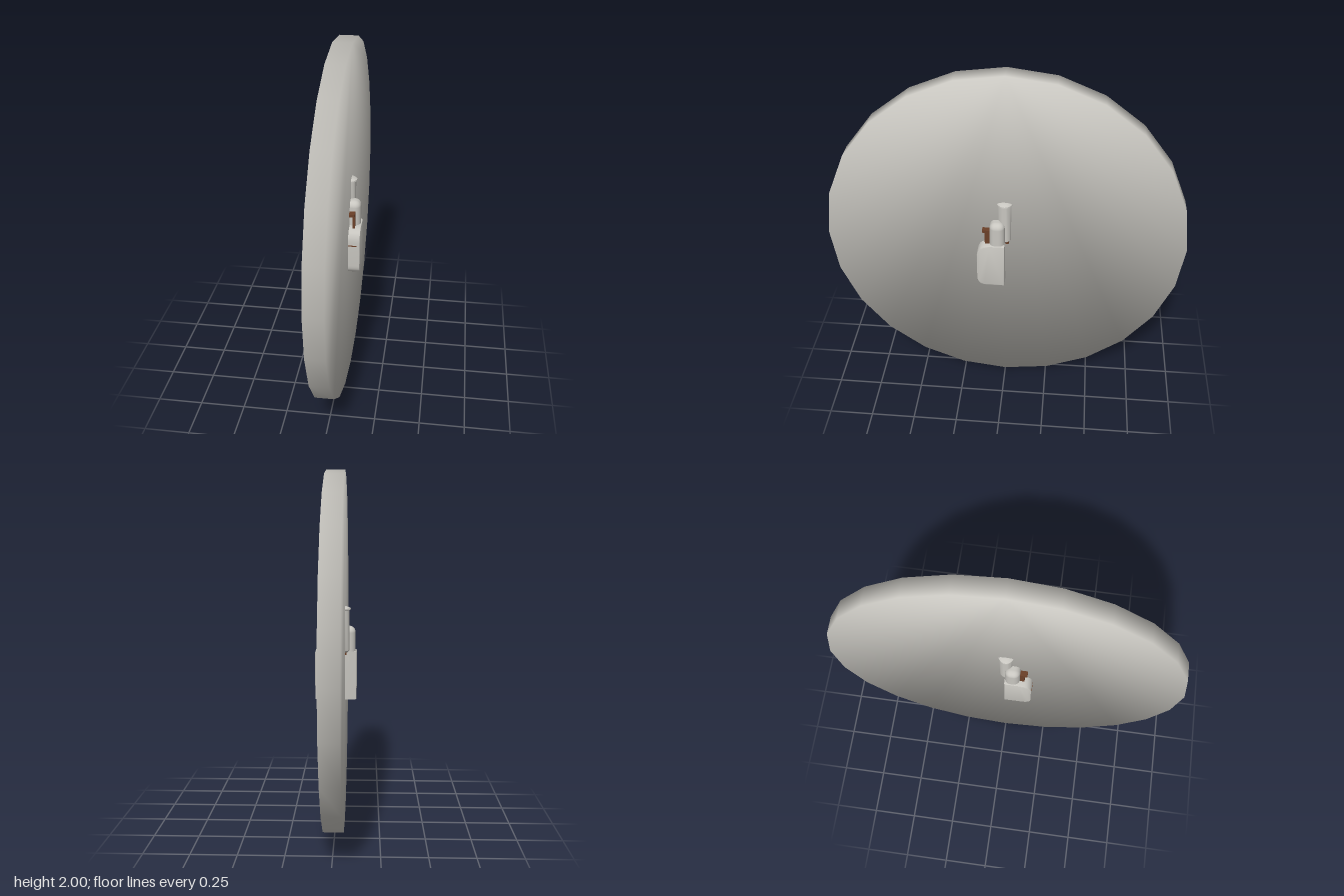
import * as THREE from 'three';
import { toCreasedNormals } from 'three/addons/utils/BufferGeometryUtils.js';
import { RoundedBoxGeometry } from 'three/addons/geometries/RoundedBoxGeometry.js';

// 24-sided disc facing along x, its rim normals blended across caps and edge
function discGeometry(radius, halfWidth, sides) {
  const pos = [], nor = [], idx = [];
  const tilt = THREE.MathUtils.degToRad(47.5);
  for (let i = 0; i < sides; i++) {
    const a = (i / sides) * Math.PI * 2, c = Math.cos(a), s = Math.sin(a);
    for (const side of [1, -1]) {
      pos.push(side * halfWidth, radius * c, radius * s);
      nor.push(side * Math.cos(tilt), c * Math.sin(tilt), s * Math.sin(tilt));
    }
    const p = 2 * i, q = 2 * ((i + 1) % sides);
    idx.push(p, p + 1, q, q, p + 1, q + 1);
    if (i > 0 && i < sides - 1) idx.push(0, p, q, 1, q + 1, p + 1);
  }
  const g = new THREE.BufferGeometry();
  g.setAttribute('position', new THREE.Float32BufferAttribute(pos, 3));
  g.setAttribute('normal', new THREE.Float32BufferAttribute(nor, 3));
  g.setIndex(idx);
  return g;
}

export function createModel() {
  const model = new THREE.Group();
  const grey = new THREE.MeshStandardMaterial({ name: 'warm grey', color: 0xc8c6c0 });
  const brown = new THREE.MeshStandardMaterial({ name: 'rust brown', color: 0x6b4028 });

  const add = (name, geometry, material, x, y, z) => {
    const mesh = new THREE.Mesh(geometry, material);
    mesh.name = name;
    mesh.position.set(x, y, z);
    model.add(mesh);
    return mesh;
  };
  const box = (name, w, h, d, x, y, z) =>
    add(name, new THREE.BoxGeometry(w, h, d), brown, x, y, z);

  add('disc', discGeometry(1, 0.052, 24), grey, 0, 1, 0);

  // Body: side profile with rounded front corners, extruded across x
  const bevel = 0.006, back = bevel, front = 0.155 - bevel;
  const low = 0.726 + bevel, high = 1 - bevel;
  const profile = new THREE.Shape();
  profile.moveTo(back, low);
  profile.lineTo(front - 0.045, low);
  profile.quadraticCurveTo(front, low, front, low + 0.05);
  profile.lineTo(front, high - 0.07);
  profile.quadraticCurveTo(front, high, front - 0.065, high);
  profile.lineTo(back, high);
  profile.closePath();
  const width = 0.234 - 2 * bevel;
  const body = new THREE.ExtrudeGeometry(profile, {
    depth: width, bevelEnabled: true, bevelSize: bevel,
    bevelThickness: bevel, bevelSegments: 2, curveSegments: 8,
  });
  body.translate(0, 0, -width / 2).rotateY(-Math.PI / 2);
  add('body', toCreasedNormals(body, 0.7), grey, 0, 0, 0);

  // Rounded block rising from the body
  add('upperBlock', new RoundedBoxGeometry(0.22, 0.3, 0.085, 4, 0.035), grey, 0, 0.99, 0.0425);

  // Flattened column with a domed cap
  const points = [
    [0, 0.99], [0.062, 0.994], [0.077, 1.008], [0.077, 1.235], [0.084, 1.238],
    [0.083, 1.245], [0.07, 1.253], [0.045, 1.258], [0, 1.26],
  ].map(([r, y]) => new THREE.Vector2(r, y));
  const column = new THREE.LatheGeometry(points, 32);
  column.scale(1, 1, 0.64);
  add('column', toCreasedNormals(column, 0.7), grey, 0, 0, 0.003);

  // Arched lever in front of the block
  for (const side of [1, -1]) box('leverPost', 0.013, 0.085, 0.026, side * 0.077, 1.035, 0.098);
  box('leverBar', 0.167, 0.015, 0.045, 0, 1.078, 0.103);

  // Small foot under the column and seam across the body front
  box('columnFoot', 0.12, 0.02, 0.02, 0, 0.995, -0.01);
  box('bodySeam', 0.2, 0.006, 0.006, 0, 0.908, 0.1535);

  return model;
}
